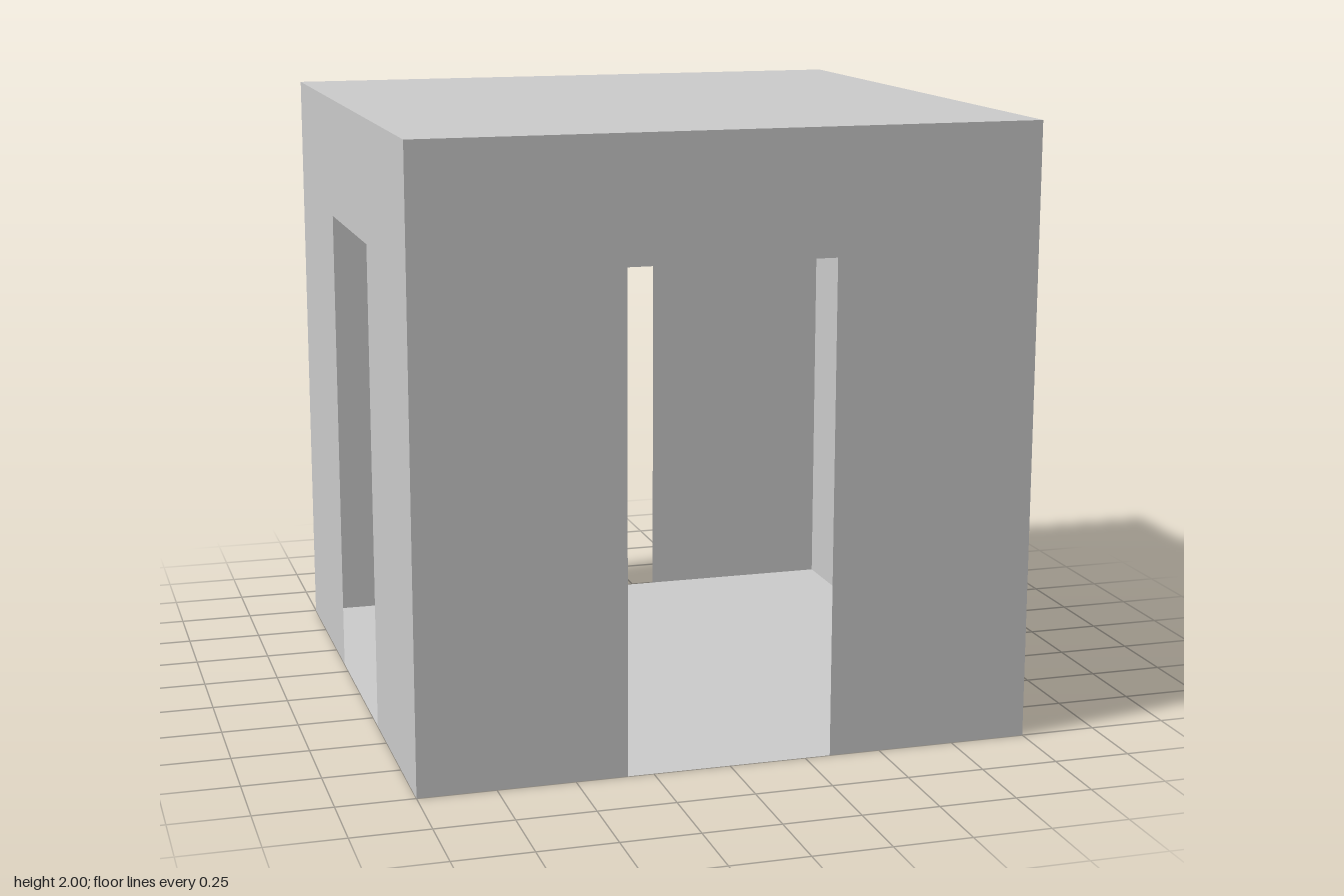
import * as THREE from 'three';

export function createModel() {
  const group = new THREE.Group();
  const material = new THREE.MeshStandardMaterial({
    color: 0xcccccc, flatShading: true, side: THREE.DoubleSide,
  });
  const half = 1, height = 2, doorHalf = 1 / 3, doorHeight = 1.6;

  // Wall outline with a doorway running down to the floor
  const outline = [
    [-half, 0], [-doorHalf, 0], [-doorHalf, doorHeight], [doorHalf, doorHeight],
    [doorHalf, 0], [half, 0], [half, height], [-half, height],
  ].map(([x, y]) => new THREE.Vector2(x, y));
  const wallGeometry = new THREE.ShapeGeometry(new THREE.Shape(outline));

  // Four thin walls, each facing outwards
  ['frontWall', 'leftWall', 'backWall', 'rightWall'].forEach((name, i) => {
    const wall = new THREE.Mesh(wallGeometry, material);
    const angle = i * Math.PI / 2;
    wall.name = name;
    wall.rotation.y = angle;
    wall.position.set(Math.sin(angle) * half, 0, Math.cos(angle) * half);
    group.add(wall);
  });

  // Thin floor and roof sheets
  const sheetGeometry = new THREE.PlaneGeometry(2 * half, 2 * half);
  for (const [name, y, turn] of [['floor', 0, Math.PI / 2], ['roof', height, -Math.PI / 2]]) {
    const sheet = new THREE.Mesh(sheetGeometry, material);
    sheet.name = name;
    sheet.rotation.x = turn;
    sheet.position.y = y;
    group.add(sheet);
  }
  return group;
}
